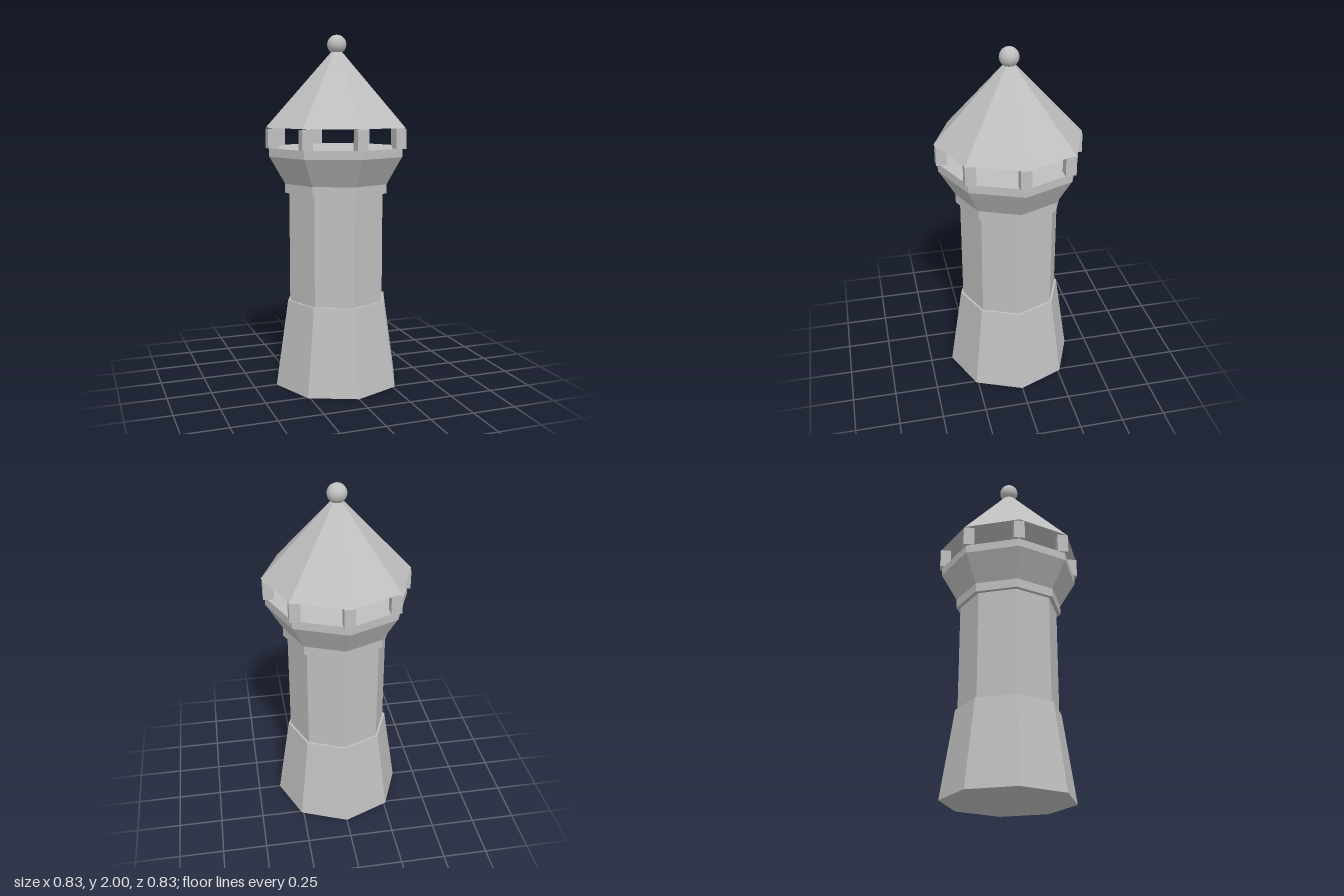
import * as THREE from 'three';

export function createModel() {
  const model = new THREE.Group();
  model.name = 'watchtower';
  const stone = new THREE.MeshStandardMaterial({ color: 0xbfbfbf });
  stone.name = 'grey stone';

  function add(name, geometry, x, y, z) {
    const mesh = new THREE.Mesh(geometry, stone);
    mesh.name = name;
    mesh.position.set(x, y, z);
    model.add(mesh);
  }

  // Eight-sided section with crisp facets, corners on the x and z axes
  function octagon(name, rBottom, rTop, y0, y1) {
    const g = new THREE.CylinderGeometry(rTop, rBottom, y1 - y0, 8).toNonIndexed();
    g.computeVertexNormals();
    add(name, g, 0, (y0 + y1) / 2, 0);
  }

  octagon('base', 0.37, 0.297, 0, 0.497);
  octagon('shaft', 0.284, 0.284, 0.497, 1.12);
  octagon('collar', 0.308, 0.308, 1.12, 1.172);
  octagon('flaredCorbel', 0.308, 0.398, 1.172, 1.326);
  octagon('platform', 0.4, 0.4, 1.326, 1.373);

  // Square posts on the platform corners, all aligned with the axes
  for (let i = 0; i < 8; i++) {
    const a = (i * Math.PI) / 4;
    add('post', new THREE.BoxGeometry(0.06, 0.109, 0.06),
      Math.sin(a) * 0.381, 1.4275, Math.cos(a) * 0.381);
  }

  // Pointed roof with a closed underside, and the ball on its tip
  const roof = new THREE.ConeGeometry(0.417, 0.453, 8).toNonIndexed();
  roof.computeVertexNormals();
  add('roof', roof, 0, 1.487 + 0.2265, 0);
  add('finial', new THREE.SphereGeometry(0.054, 32, 20), 0, 1.946, 0);

  return model;
}
